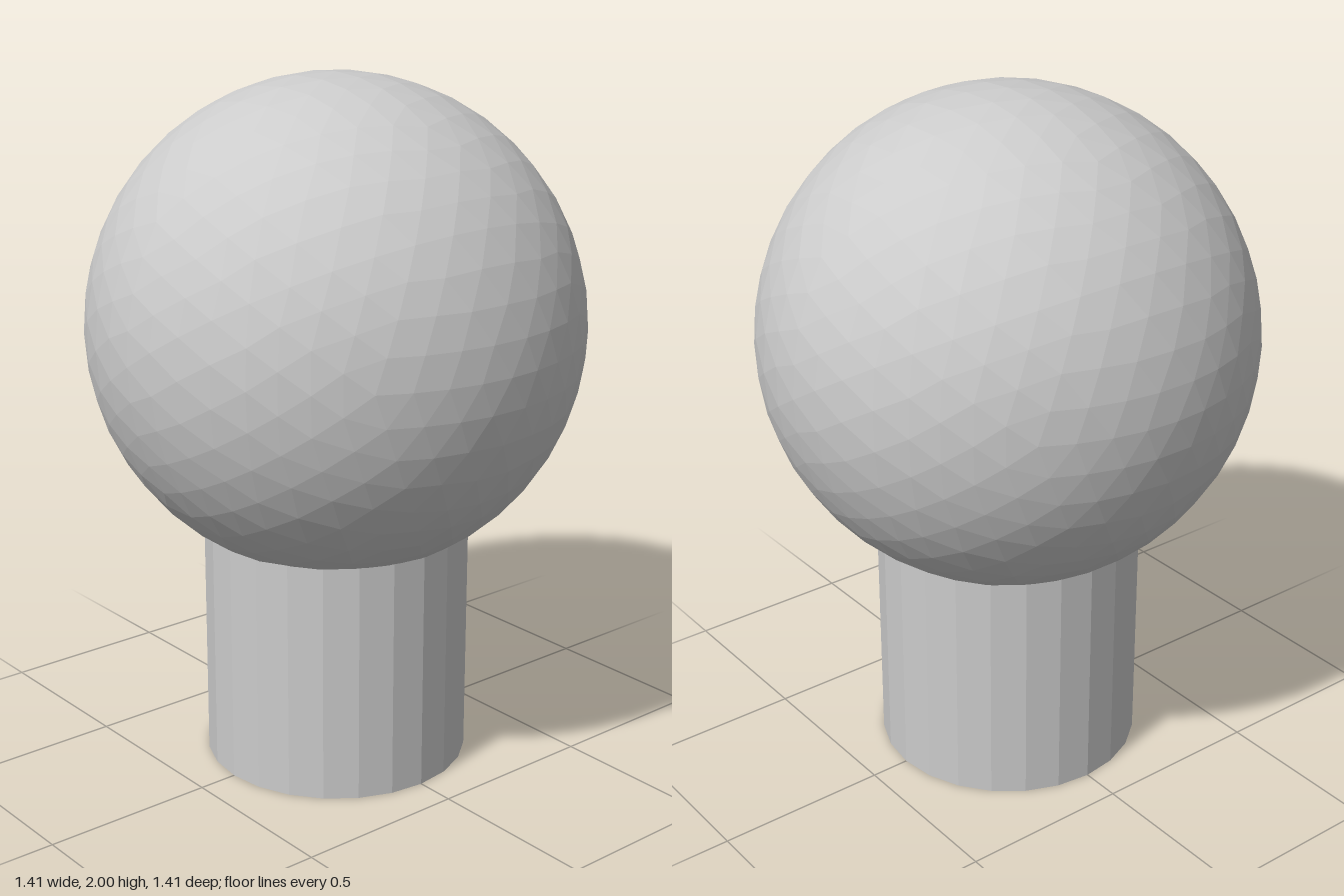
import * as THREE from 'three';

// Sphere of even triangles: split each icosahedron triangle in four, pushing midpoints outward.
function icosphere(radius, levels) {
  const pos = new THREE.IcosahedronGeometry(radius, 0).getAttribute('position');
  let points = Array.from({ length: pos.count }, (_, i) => new THREE.Vector3().fromBufferAttribute(pos, i));
  const middle = (p, q) => p.clone().add(q).setLength(radius);
  for (let level = 0; level < levels; level++) {
    const next = [];
    for (let i = 0; i < points.length; i += 3) {
      const [a, b, c] = points.slice(i, i + 3);
      const ab = middle(a, b), bc = middle(b, c), ca = middle(c, a);
      next.push(a, ab, ca, ab, b, bc, ca, bc, c, ab, bc, ca);
    }
    points = next;
  }
  const geometry = new THREE.BufferGeometry().setFromPoints(points);
  geometry.computeVertexNormals();
  return geometry;
}

export function createModel() {
  const model = new THREE.Group();
  model.name = 'ballOnPost';
  const material = new THREE.MeshStandardMaterial({ color: 0xcccccc, flatShading: true });

  // Round faceted ball, its top at y = 2
  const ballRadius = 0.707;
  const ball = new THREE.Mesh(icosphere(ballRadius, 3), material);
  ball.name = 'ball';
  ball.position.y = 2 - ballRadius;

  // Post, reaching just into the ball
  const postHeight = 0.705;
  const post = new THREE.Mesh(new THREE.CylinderGeometry(0.385, 0.385, postHeight, 24), material);
  post.name = 'post';
  post.position.y = postHeight / 2;

  model.add(ball, post);
  return model;
}
